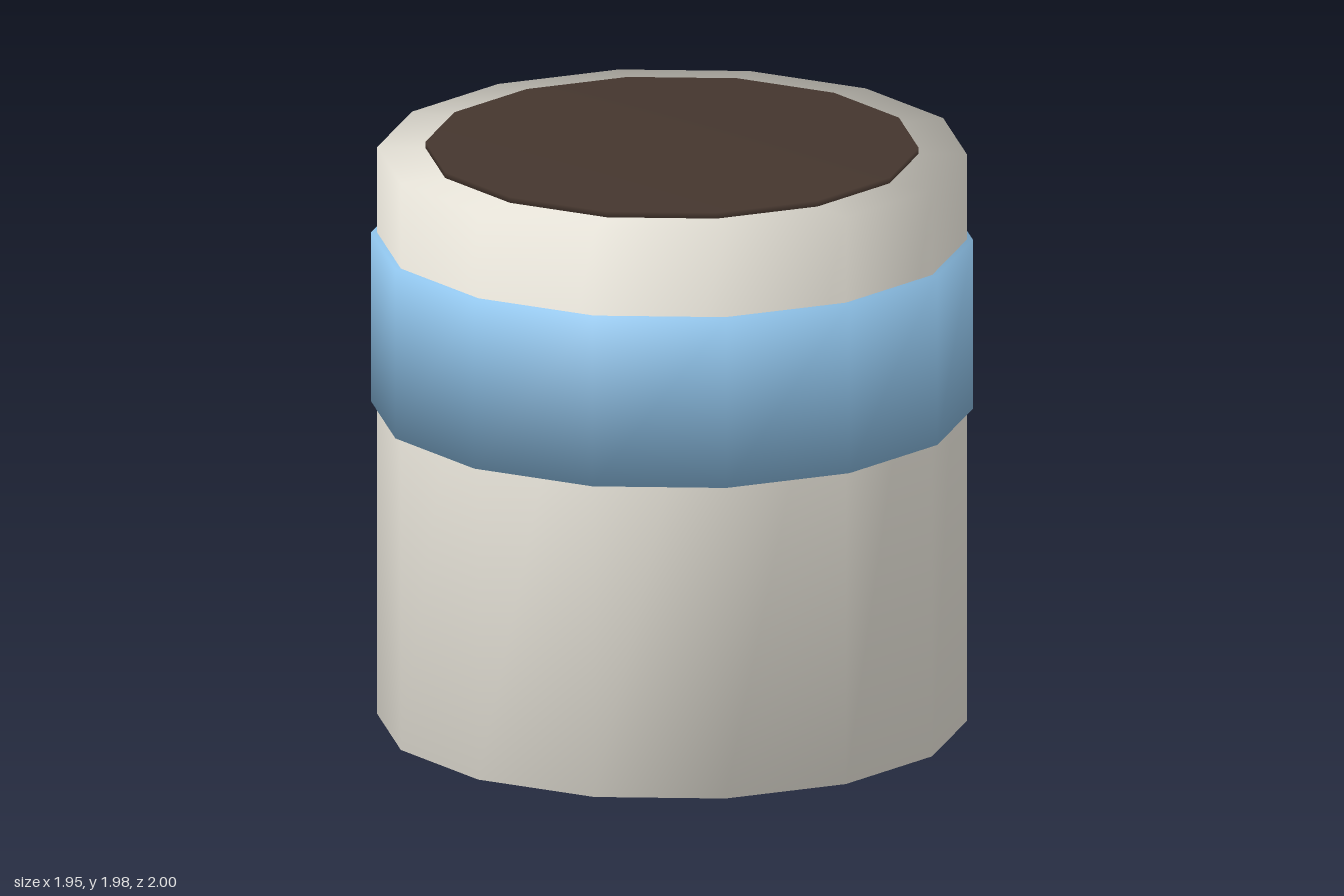
import * as THREE from 'three';
import { mergeVertices } from 'three/addons/utils/BufferGeometryUtils.js';

const SIDES = 14;

// Capped prism with normals blended over walls and caps
function drum(name, radius, bottom, top, color) {
  let geometry = new THREE.CylinderGeometry(radius, radius, top - bottom, SIDES);
  geometry.deleteAttribute('normal');
  geometry.deleteAttribute('uv');
  geometry = mergeVertices(geometry);
  geometry.computeVertexNormals();
  const mesh = new THREE.Mesh(geometry, new THREE.MeshStandardMaterial({ color }));
  mesh.name = name;
  mesh.position.y = (bottom + top) / 2;
  return mesh;
}

export function createModel() {
  const group = new THREE.Group();
  group.name = 'cup';
  group.add(
    drum('cupBody', 0.98, 0, 1.96, 0xf2eee3),
    // Coloured band standing slightly proud of the wall
    drum('band', 1, 1.08, 1.665, 0x8fc3ea),
    // Dark drink surface on top
    drum('drinkSurface', 0.82, 1.95, 1.98, 0x45362e),
  );
  return group;
}
